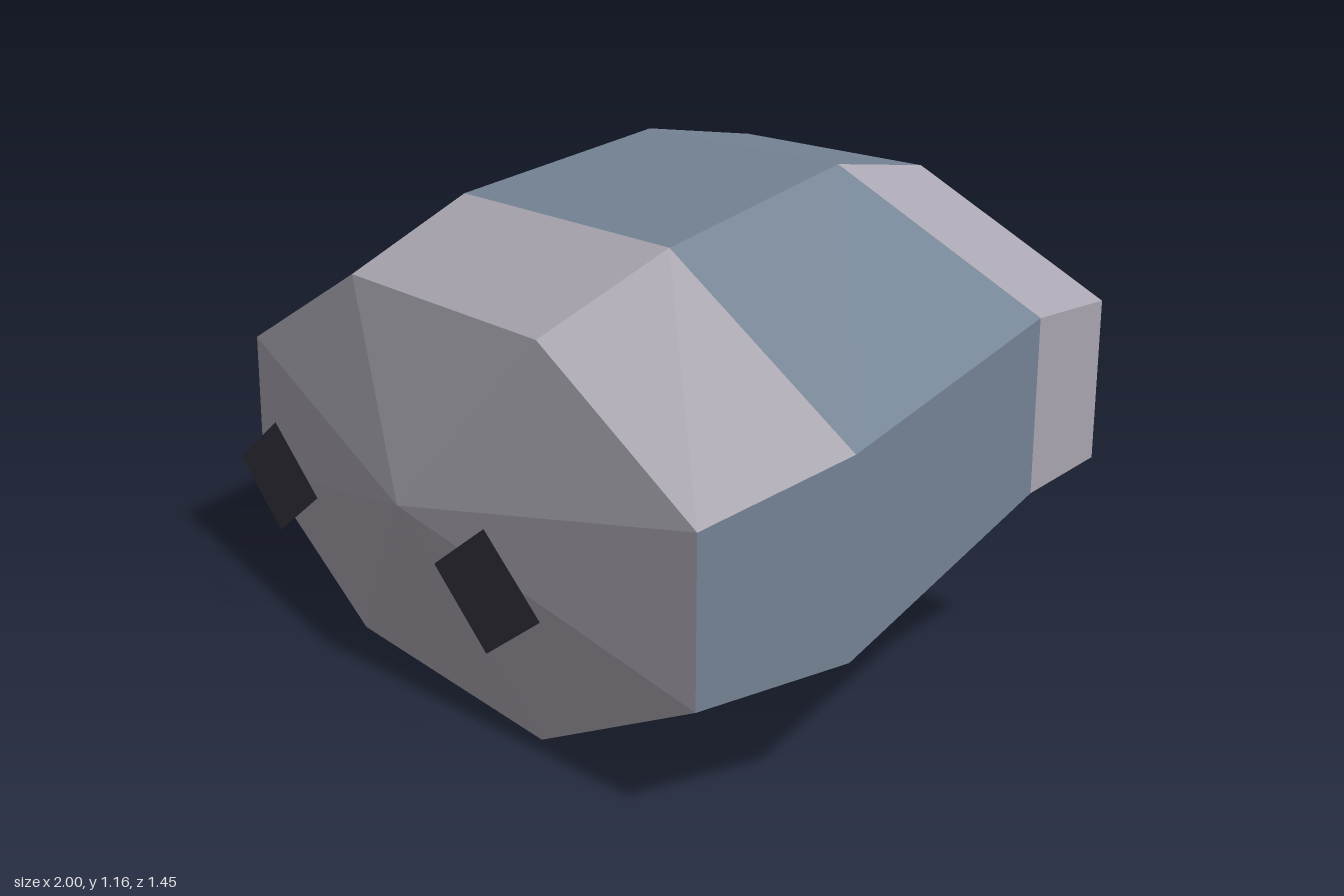
import * as THREE from 'three';

// Octagonal cross-sections, front to back.
// w: side x, t: top/bottom x, hi/lo: side heights, each z given for top, side and bottom edges
const SECTIONS = [
  { w: 0.925, t: 0.39, top: 0.89, hi: 0.63, lo: 0.265, bot: 0.0, zTop: 0.545, zSide: 0.545, zBot: 0.545 },
  { w: 1.0, t: 0.41, top: 1.045, hi: 0.74, lo: 0.31, bot: 0.01, zTop: 0.22, zSide: 0.22, zBot: 0.22 },
  { w: 0.855, t: 0.355, top: 1.165, hi: 0.885, lo: 0.49, bot: 0.21, zTop: -0.3, zSide: -0.44, zBot: -0.33 },
  { w: 0.78, t: 0.32, top: 1.13, hi: 0.87, lo: 0.5, bot: 0.245, zTop: -0.595, zSide: -0.725, zBot: -0.62 },
];
const FRONT_TIP = [0, 0.45, 0.663];
const BACK_TIP = [0, 0.685, -0.665];

// Corners run anticlockwise seen from the front, starting at the lower left side
function ring(s) {
  const half = [[s.w, s.lo, s.zSide], [s.w, s.hi, s.zSide], [s.t, s.top, s.zTop]];
  const mirrored = half.map(([x, y, z]) => [-x, y, z]).reverse();
  return [...half, ...mirrored, [-s.t, s.bot, s.zBot], [s.t, s.bot, s.zBot]];
}

function facesMesh(name, triangles, material) {
  const geometry = new THREE.BufferGeometry();
  geometry.setAttribute('position', new THREE.Float32BufferAttribute(triangles.flat(2), 3));
  geometry.computeVertexNormals();
  const mesh = new THREE.Mesh(geometry, material);
  mesh.name = name;
  return mesh;
}

// Chosen sides of the band between two rings
function band(front, back, sides) {
  return sides.flatMap((i) => {
    const j = (i + 1) % 8;
    return [[front[i], back[i], back[j]], [front[i], back[j], front[j]]];
  });
}

function fan(tip, corners) {
  return corners.map((c, i) => [tip, c, corners[(i + 1) % corners.length]]);
}

export function createModel() {
  const group = new THREE.Group();
  group.name = 'facetedHead';

  const mauve = new THREE.MeshStandardMaterial({ color: 0xaaa6b1, name: 'mauveGrey' });
  const slate = new THREE.MeshStandardMaterial({ color: 0x748394, name: 'slateBlue' });
  const dark = new THREE.MeshStandardMaterial({ color: 0x383542, name: 'darkEye' });

  const [a, b, c, d] = SECTIONS.map(ring);
  const all = [0, 1, 2, 3, 4, 5, 6, 7];
  const brow = [1, 2, 3];
  const crown = [2];
  const except = (list) => all.filter((i) => !list.includes(i));

  // Blue shell
  group.add(facesMesh('shell', [
    ...band(a, b, except(brow)),
    ...band(b, c, all),
    ...band(c, d, crown),
  ], slate));

  // Pale brow, rear rim and end faces
  group.add(facesMesh('brow', band(a, b, brow), mauve));
  group.add(facesMesh('rearRim', band(c, d, except(crown)), mauve));
  group.add(facesMesh('face', fan(FRONT_TIP, a), mauve));
  group.add(facesMesh('back', fan(BACK_TIP, [...d].reverse()), mauve));

  // Flat diamond eyes standing just ahead of the face
  const diamond = new THREE.Shape([
    new THREE.Vector2(0.2, 0), new THREE.Vector2(0, 0.135),
    new THREE.Vector2(-0.2, 0), new THREE.Vector2(0, -0.135),
  ]);
  const eyeGeometry = new THREE.ShapeGeometry(diamond);
  for (const side of [1, -1]) {
    const eye = new THREE.Mesh(eyeGeometry, dark);
    eye.name = side > 0 ? 'leftEye' : 'rightEye';
    eye.position.set(side * 0.463, 0.407, 0.725);
    group.add(eye);
  }
  return group;
}
